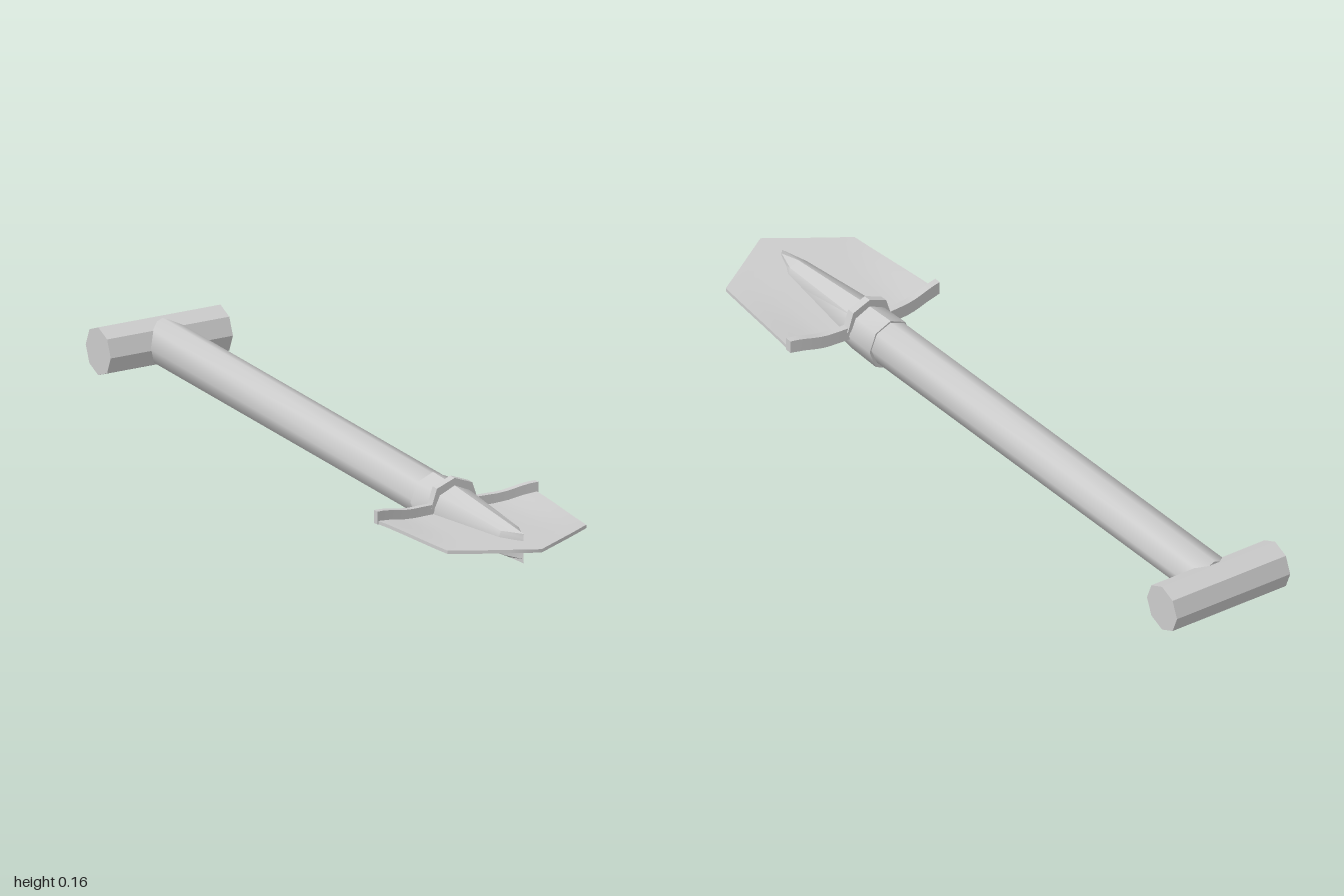
import * as THREE from 'three';
import { toCreasedNormals } from 'three/addons/utils/BufferGeometryUtils.js';

const grey = new THREE.MeshStandardMaterial({ color: 0xcccccc });

function part(group, name, geometry, crease = 0.4) {
  const mesh = new THREE.Mesh(toCreasedNormals(geometry, crease), grey);
  mesh.name = name;
  group.add(mesh);
  return mesh;
}

// Subdivided unit box (-1..1, 0..1, 0..1) whose vertices are moved by a rule
function warpedBox(segX, segZ, rule) {
  const g = new THREE.BoxGeometry(2, 1, 1, segX, 1, segZ).translate(0, 0.5, 0.5);
  const p = g.attributes.position;
  for (let i = 0; i < p.count; i++) p.setXYZ(i, ...rule(p.getX(i), p.getY(i), p.getZ(i)));
  return g;
}

// Closed-back octagonal loft along z; rings are [z, centreY, radiusX, radiusY]
function octagonLoft(rings) {
  const pos = [], index = [], n = 8;
  for (const [z, cy, rx, ry] of rings) {
    for (let j = 0; j < n; j++) {
      const a = (j / n) * Math.PI * 2;
      pos.push(rx * Math.cos(a), cy + ry * Math.sin(a), z);
    }
  }
  for (let i = 0; i < rings.length - 1; i++) {
    for (let j = 0; j < n; j++) {
      const k = (j + 1) % n, a = i * n, b = a + n;
      index.push(a + j, a + k, b + j, a + k, b + k, b + j);
    }
  }
  for (let j = 1; j < n - 1; j++) index.push(0, j + 1, j);
  const g = new THREE.BufferGeometry();
  g.setAttribute('position', new THREE.Float32BufferAttribute(pos, 3));
  g.setIndex(index);
  return g;
}

const { lerp, smoothstep } = THREE.MathUtils;
const backEdge = (x) => 0.54 + 0.018 * (x / 0.23) ** 2;
// Underside height of the blade: rises to the tip, curls up at the rear corners
const bladeY = (x, z) =>
  lerp(0.061, 0.092, (z - 0.54) / 0.46) + 0.015 * smoothstep(Math.abs(x), 0.12, 0.23) * (1 - smoothstep(z, 0.55, 0.95));

export function createModel() {
  const group = new THREE.Group();
  group.name = 'shovel';

  // Octagonal shaft
  const shaft = new THREE.CylinderGeometry(0.06, 0.06, 1.38, 8).rotateX(Math.PI / 2);
  part(group, 'shaft', shaft.translate(0, 0.075, -0.23), 1);

  // Cross grip, flat facets
  const grip = new THREE.CylinderGeometry(0.0635, 0.0635, 0.352, 8).rotateZ(Math.PI / 2);
  part(group, 'grip', grip.translate(0, 0.0715, -0.9365));

  // Socket tapering into a chisel-ended spike
  part(group, 'socket', octagonLoft([
    [0.45, 0.07, 0.065, 0.07],
    [0.55, 0.07, 0.062, 0.068],
    [0.84, 0.075, 0.037, 0.044],
    [0.91, 0.075, 0.0005, 0.039],
  ]), 0.8);

  // Pointed blade
  part(group, 'blade', warpedBox(12, 8, (u, t, v) => {
    const rear = v <= 0.626;
    const half = rear ? lerp(0.23, 0.2, v / 0.625) : lerp(0.2, 0.0005, (v - 0.625) / 0.375);
    const x = u * half;
    const z = rear ? lerp(backEdge(x), 0.875, v / 0.625) : lerp(0.875, 1, (v - 0.625) / 0.375);
    return [x, bladeY(x, z) + t * 0.009, z];
  }), 0.6);

  // Raised foot lips along the rear edge, one each side
  for (const side of [-1, 1]) {
    part(group, side > 0 ? 'leftFootLip' : 'rightFootLip', warpedBox(8, 1, (u, t, v) => {
      const x = side * 0.145 + u * 0.087;
      const z = backEdge(x) + v * 0.018;
      return [x, bladeY(x, z) + t * 0.034, z];
    }), 0.6);
  }

  // Band carrying the lip over the socket
  const arch = new THREE.Shape();
  [[0.068, 0.085], [0.051, 0.137], [0, 0.157], [-0.051, 0.137], [-0.068, 0.085],
    [-0.058, 0.085], [-0.043, 0.117], [0, 0.135], [0.043, 0.117], [0.058, 0.085]]
    .forEach(([x, y], i) => (i ? arch.lineTo(x, y) : arch.moveTo(x, y)));
  const band = new THREE.ExtrudeGeometry(arch, { depth: 0.022, bevelEnabled: false });
  part(group, 'socketBand', band.translate(0, 0, 0.538));

  return group;
}
